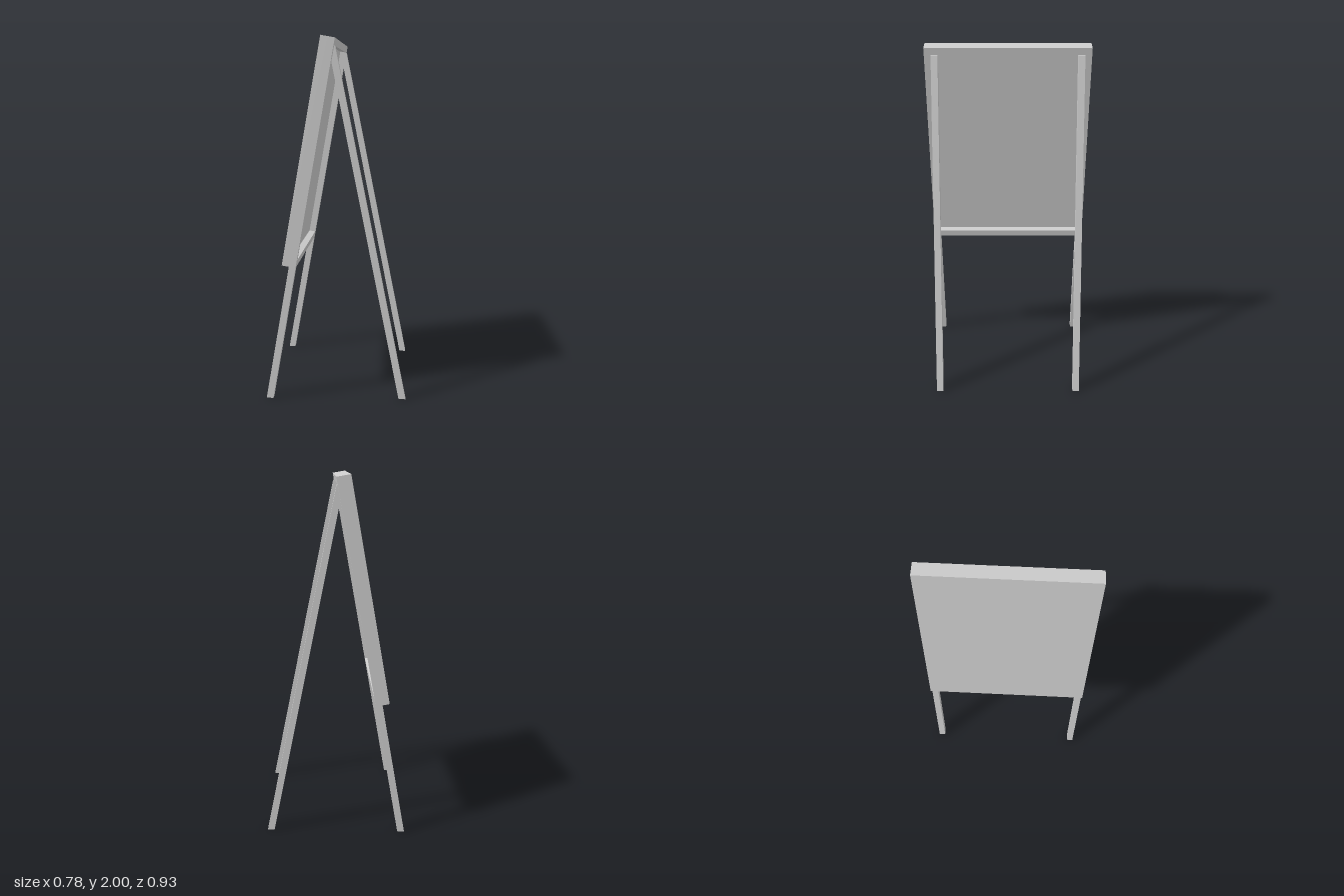
import * as THREE from 'three';

const TILT = THREE.MathUtils.degToRad(10);
const LENGTH = 1.254;   // board height along its slope
const PANEL = 0.04;     // panel thickness
const BACK = 0.0775;    // panel plus frame thickness
const RAIL = 0.04;      // rail height along the slope
const HALF = 0.466;     // half width of the board
const INNER = 0.428;    // inner face of the front legs
const REAR = 0.39;      // inner face of the rear legs

// Point on the leaning board: t up the slope, d through the thickness.
const onBoard = (t, d) => [
  -0.295 + t * Math.sin(TILT) + d * Math.cos(TILT),
  0.765 + t * Math.cos(TILT) - d * Math.sin(TILT),
];

// Where the board plane at depth d meets the floor.
function onFloor(d) {
  const [x, y] = onBoard(0, d);
  return [x - y * Math.tan(TILT), 0];
}

export function createModel() {
  const group = new THREE.Group();
  const material = new THREE.MeshStandardMaterial({ color: 0xcccccc, flatShading: true });

  // Side profile extruded across the width, from z0 to z1.
  function bar(name, profile, z0, z1) {
    const shape = new THREE.Shape(profile.map(([x, y]) => new THREE.Vector2(x, y)));
    const geometry = new THREE.ExtrudeGeometry(shape, { depth: z1 - z0, bevelEnabled: false });
    geometry.translate(0, 0, z0);
    const mesh = new THREE.Mesh(geometry, material);
    mesh.name = name;
    group.add(mesh);
  }

  const slab = (t0, t1, d0, d1) => [onBoard(t0, d0), onBoard(t0, d1), onBoard(t1, d1), onBoard(t1, d0)];

  // Writing panel
  bar('panel', slab(0, LENGTH, 0, PANEL), -HALF, HALF);

  // Rails behind the panel, between the front legs
  bar('bottomRail', slab(0, RAIL, PANEL, BACK), -INNER, INNER);
  bar('topRail', slab(LENGTH - RAIL, LENGTH, PANEL, BACK), -INNER, INNER);

  // Front legs run up behind the panel as the frame's stiles
  const frontLeg = [onFloor(PANEL), onFloor(BACK), onBoard(LENGTH, BACK), onBoard(LENGTH, PANEL)];
  // Rear legs meet the underside of the top rail
  const rearLeg = [[0.352, 0], [0.39, 0], [-0.003, 1.946], [-0.041, 1.953]];

  for (const [side, s] of [['left', 1], ['right', -1]]) {
    const span = (a, b) => (s > 0 ? [a, b] : [-b, -a]);
    bar(`${side}FrontLeg`, frontLeg, ...span(INNER, HALF));
    bar(`${side}RearLeg`, rearLeg, ...span(REAR, INNER));
  }

  return group;
}
